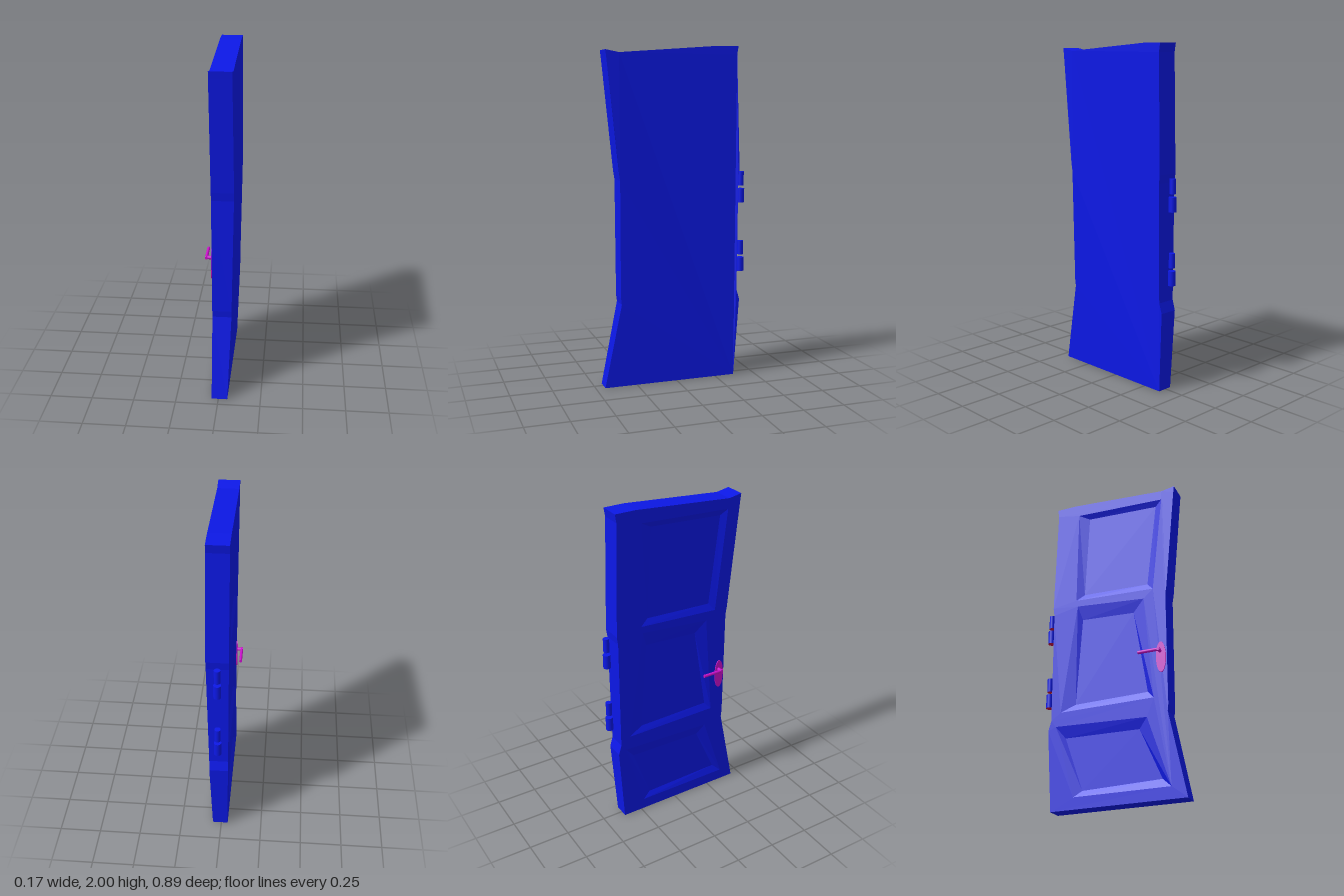
import * as THREE from 'three';

const blue = new THREE.MeshStandardMaterial({ color: 0x0c18e6, flatShading: true });
const blueSmooth = new THREE.MeshStandardMaterial({ color: 0x0c18e6 });
const magenta = new THREE.MeshStandardMaterial({ color: 0xcc10cc });
const red = new THREE.MeshStandardMaterial({ color: 0xcc1040 });

// Door outline as [z, y], counter-clockwise from the bottom hinge corner
const outline = [
  [-0.37, 0], [0.445, 0], [0.345, 0.5], [0.35, 0.54], [0.352, 1.23], [0.36, 1.28], [0.425, 1.93],
  [0.43, 1.97], [0.35, 1.955], [-0.25, 2], [-0.375, 2], [-0.367, 1.95], [-0.387, 1.28],
  [-0.38, 1.23], [-0.38, 0.54], [-0.398, 0.48],
];

// Panels: outer rim and sunken floor, each [z, y] counter-clockwise
const panels = [
  { name: 'topPanel',
    rim: [[-0.23, 1.304], [0.274, 1.28], [0.344, 1.894], [-0.22, 1.92]],
    floor: [[-0.18, 1.34], [0.235, 1.325], [0.3, 1.86], [-0.15, 1.883]] },
  { name: 'middlePanel',
    rim: [[-0.32, 0.584], [0.264, 0.59], [0.214, 1.226], [-0.22, 1.262]],
    floor: [[-0.23, 0.625], [0.224, 0.635], [0.143, 1.153], [-0.19, 1.17]] },
  { name: 'bottomPanel',
    rim: [[-0.23, 0.07], [0.354, 0.07], [0.22, 0.48], [-0.35, 0.5]],
    floor: [[-0.18, 0.105], [0.3, 0.12], [0.17, 0.42], [-0.29, 0.426]] },
];
const recess = 0.015;

// Thickness of the door varies with height
const panelSideX = (y) => -0.04 - 0.005 * y;
const sunkenX = (y) => panelSideX(y) + recess;
const plainSideX = (y) => {
  const knots = [[0, 0.053], [0.5, 0.069], [1.28, 0.082], [2, 0.075]];
  const i = y < 0.5 ? 0 : y < 1.28 ? 1 : 2;
  const [[ya, xa], [yb, xb]] = [knots[i], knots[i + 1]];
  return xa + ((xb - xa) * (y - ya)) / (yb - ya);
};

const toVectors = (pts) => pts.map(([z, y]) => new THREE.Vector2(z, y));

// Flat face in the z-y plane, placed at x = xAt(y)
function face(pts, xAt, holes = [], flip = false) {
  const shape = new THREE.Shape(toVectors(pts));
  holes.forEach((h) => shape.holes.push(new THREE.Path(toVectors(h))));
  const geo = new THREE.ShapeGeometry(shape);
  const p = geo.attributes.position;
  for (let i = 0; i < p.count; i++) {
    const z = p.getX(i), y = p.getY(i);
    p.setXYZ(i, xAt(y), y, z);
  }
  if (flip) geo.index.array.reverse();
  geo.computeVertexNormals();
  return geo;
}

// Band of quads joining a lower loop to an upper loop
function band(lower, lowerX, upper, upperX) {
  const pos = [];
  lower.forEach((a, i) => {
    const j = (i + 1) % lower.length;
    const at = ([z, y], xAt) => [xAt(y), y, z];
    const A = at(a, lowerX), B = at(lower[j], lowerX);
    const C = at(upper[j], upperX), D = at(upper[i], upperX);
    pos.push(...A, ...B, ...C, ...A, ...C, ...D);
  });
  const geo = new THREE.BufferGeometry();
  geo.setAttribute('position', new THREE.Float32BufferAttribute(pos, 3));
  geo.computeVertexNormals();
  return geo;
}

function add(parent, name, geo, mat, x = 0, y = 0, z = 0) {
  const mesh = new THREE.Mesh(geo, mat);
  mesh.name = name;
  mesh.position.set(x, y, z);
  parent.add(mesh);
  return mesh;
}

export function createModel() {
  const model = new THREE.Group();
  model.name = 'door';

  // Slab: panelled side, plain side and edges
  add(model, 'panelledSide', face(outline, panelSideX, panels.map((p) => p.rim)), blue);
  add(model, 'plainSide', face(outline, plainSideX, [], true), blue);
  add(model, 'edges', band(outline, plainSideX, outline, panelSideX), blue);

  // Sunken panels with bevelled rims
  for (const { name, rim, floor } of panels) {
    add(model, name + 'Bevel', band(rim, panelSideX, floor, sunkenX), blue);
    add(model, name, face(floor, sunkenX), blue);
  }

  // Two hinges, each with a wide lower and a narrow upper barrel
  for (const base of [0.645, 1.07]) {
    const hinge = new THREE.Group();
    hinge.name = 'hinge';
    hinge.position.set(0.015, base, -0.424);
    for (const [r, bottom] of [[0.022, 0], [0.018, 0.103]]) {
      add(hinge, 'hingeBarrel', new THREE.CylinderGeometry(r, r, 0.085, 24), blueSmooth, 0, bottom + 0.0425, 0);
      add(hinge, 'hingeCap', new THREE.CircleGeometry(r, 24), red, 0, bottom - 0.0005, 0).rotation.x = Math.PI / 2;
    }
    model.add(hinge);
  }

  // Handle: oval plate, stem and lever
  const handle = new THREE.Group();
  handle.name = 'handle';
  const plate = add(handle, 'handlePlate', new THREE.CylinderGeometry(1, 1, 0.008, 32), magenta, -0.046, 0.83, 0.315);
  plate.rotation.z = Math.PI / 2;
  plate.scale.set(0.095, 1, 0.03);
  add(handle, 'handleStem', new THREE.CylinderGeometry(0.01, 0.01, 0.046, 16), magenta, -0.063, 0.865, 0.311)
    .rotation.z = Math.PI / 2;
  const lever = add(handle, 'handleLever', new THREE.CylinderGeometry(0.01, 0.01, 0.136, 16), magenta, -0.078, 0.865, 0.253);
  lever.rotation.x = Math.PI / 2;
  lever.scale.x = 0.85;
  model.add(handle);

  return model;
}
